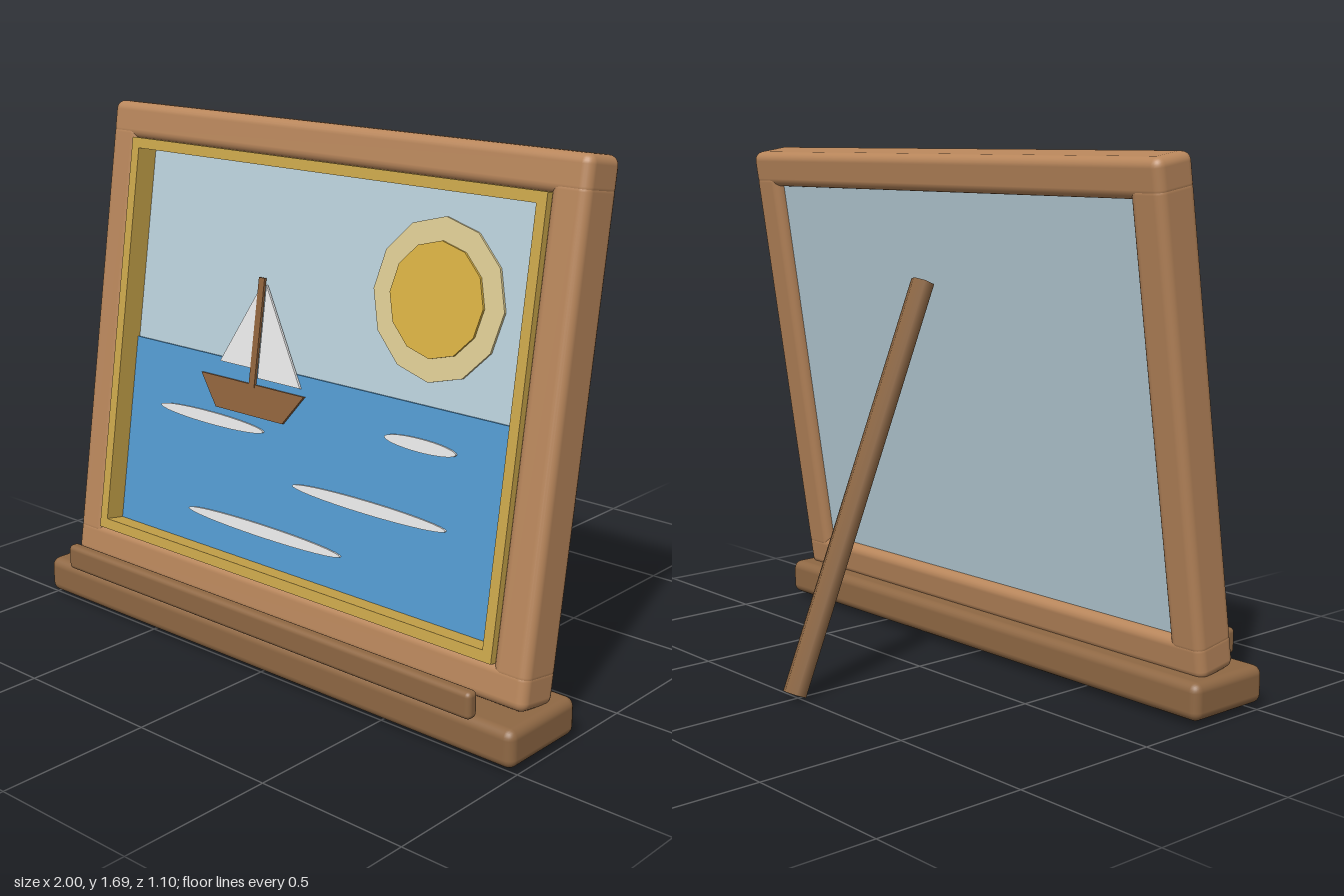
import * as THREE from 'three';
import { RoundedBoxGeometry } from 'three/addons/geometries/RoundedBoxGeometry.js';

const mat = (name, color) => Object.assign(new THREE.MeshStandardMaterial({ color }), { name });

export function createModel() {
  const frameWood = mat('frame wood', 0xb8865b);
  const darkWood = mat('dark wood', 0x8f6844);
  const gold = mat('gold trim', 0xc9a54a);
  const skyBlue = mat('sky blue', 0xb9d0da);
  const seaBlue = mat('sea blue', 0x5299cf);
  const sunYellow = mat('sun yellow', 0xd9b143);
  const haloCream = mat('halo cream', 0xdccb93);
  const white = mat('sail white', 0xe9e9e9);
  const hullBrown = mat('hull brown', 0x8f623c);

  const model = new THREE.Group();
  model.name = 'picture stand';

  const add = (parent, name, geometry, material, x = 0, y = 0, z = 0) => {
    const mesh = new THREE.Mesh(geometry, material);
    mesh.name = name;
    mesh.position.set(x, y, z);
    parent.add(mesh);
    return mesh;
  };
  const rounded = (w, h, d, r) => new RoundedBoxGeometry(w, h, d, 3, r);

  // Base with front lip
  add(model, 'base', rounded(2, 0.12, 0.315, 0.03), darkWood, 0, 0.08, 0.373);
  add(model, 'frontLip', rounded(1.735, 0.085, 0.042, 0.016), darkWood, 0, 0.183, 0.532);

  // Six-sided back leg
  const leg = add(model, 'backLeg', new THREE.CylinderGeometry(0.04, 0.04, 1.362, 6), darkWood, 0, 0.648, -0.25);
  leg.rotation.x = 0.396;

  // Everything in the frame leans back together
  const tilt = 0.16;
  const framed = new THREE.Group();
  framed.name = 'tilted frame';
  framed.position.set(0, 0.911, 0.234);
  framed.rotation.x = -tilt;
  model.add(framed);

  // Frame rails and gold inner trim
  const depth = 0.155;
  for (const s of [-1, 1]) {
    add(framed, 'frameRail', rounded(1.93, 0.122, depth, 0.03), frameWood, 0, s * 0.725, 0);
    add(framed, 'frameSide', rounded(0.125, 1.42, depth, 0.03), frameWood, s * 0.9025, 0, 0);
    add(framed, 'trimRail', new THREE.BoxGeometry(1.69, 0.034, 0.088), gold, 0, s * 0.652, 0.044);
    add(framed, 'trimSide', new THREE.BoxGeometry(0.034, 1.27, 0.088), gold, s * 0.828, 0, 0.044);
  }

  // Picture: heights are given upright and converted to the leaning panel
  const v = (y) => (y - 0.914) / Math.cos(tilt);
  add(framed, 'skyPanel', new THREE.BoxGeometry(1.69, 1.34, 0.056), skyBlue, 0, 0, -0.017);
  const seaBottom = -0.665, seaTop = v(0.913);
  add(framed, 'sea', new THREE.BoxGeometry(1.66, seaTop - seaBottom, 0.008), seaBlue,
    0, (seaTop + seaBottom) / 2, 0.015);

  const plate = (name, points, material, z, thick = 0.008) => {
    const shape = new THREE.Shape(points.map(([x, y]) => new THREE.Vector2(x, v(y))));
    const geometry = new THREE.ExtrudeGeometry(shape, { depth: thick, bevelEnabled: false });
    return add(framed, name, geometry, material, 0, 0, z);
  };
  const oval = (cx, cy, rx, ry, n) => Array.from({ length: n }, (_, i) => {
    const a = Math.PI / 2 + (i / n) * Math.PI * 2;
    return [cx + rx * Math.cos(a), cy + ry * Math.sin(a)];
  });

  // Sun
  plate('sunHalo', oval(0.455, 1.223, 0.245, 0.242, 12), haloCream, 0.011);
  plate('sun', oval(0.455, 1.223, 0.175, 0.172, 12), sunYellow, 0.019);

  // Wave crests: centre x, centre y, half width
  for (const [x, y, half] of [[-0.42, 0.708, 0.24], [0.455, 0.795, 0.137], [0.277, 0.568, 0.31], [-0.145, 0.395, 0.34]]) {
    plate('wave', oval(x, y, half, 0.02, 32), white, 0.018);
  }

  // Sailing boat
  plate('hull', [[-0.48, 0.85], [-0.4, 0.75], [-0.1, 0.75], [-0.02, 0.85]], hullBrown, 0.019, 0.009);
  plate('mast', [[-0.259, 0.84], [-0.234, 0.84], [-0.234, 1.19], [-0.259, 1.19]], hullBrown, 0.021, 0.009);
  plate('foreSail', [[-0.4, 0.9], [-0.259, 0.9], [-0.259, 1.145]], white, 0.019);
  plate('mainSail', [[-0.226, 0.873], [-0.04, 0.873], [-0.226, 1.17]], white, 0.019);

  return model;
}
